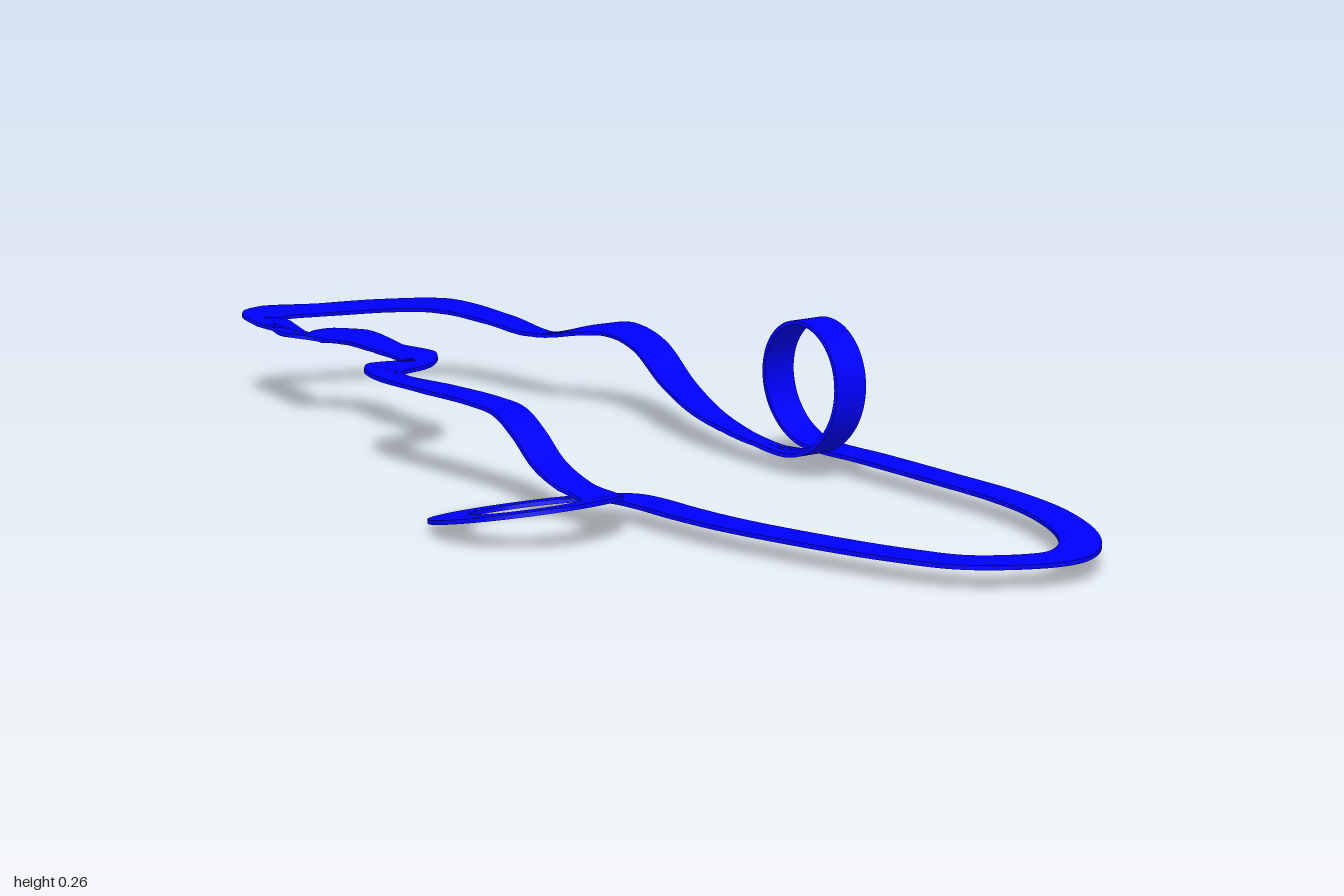
import * as THREE from 'three';

const WIDTH = 0.064, THICK = 0.007, STEPS = 8;

// Centre line of the closed circuit, with a matching "up" for every control point
function layOutTrack() {
  const points = [], ups = [];
  // x, y, z, then the sideways lean of the surface (ux, uz)
  const add = (x, y, z, ux = 0, uz = 0, uy = 1) => {
    points.push(new THREE.Vector3(x, y, z));
    ups.push(new THREE.Vector3(ux, uy, uz));
  };
  const addAll = (list) => list.forEach((p) => add(...p));

  // Vertical loop: rises on the right, drifts back while turning over
  const n = 16;
  for (let i = 0; i <= n; i++) {
    const a = (i / n) * Math.PI * 2;
    add(0.165 + 0.11 * Math.sin(a), 0.148 - 0.11 * Math.cos(a), -0.325 - 0.07 * (i / n),
      -Math.sin(a), 0, Math.cos(a));
  }

  // Long low bend round the right end, then the leaning way into the spiral
  addAll([
    [0.27, 0.038, -0.392], [0.45, 0.038, -0.38], [0.62, 0.038, -0.365], [0.75, 0.038, -0.332],
    [0.88, 0.038, -0.262], [0.948, 0.038, -0.19], [0.963, 0.038, -0.13], [0.9, 0.038, -0.015],
    [0.8, 0.038, 0.035], [0.65, 0.038, 0.077], [0.5, 0.038, 0.105], [0.4, 0.038, 0.112],
    [0.3, 0.038, 0.112], [0.25, 0.036, 0.116, -0.12], [0.195, 0.03, 0.135, -0.21],
    [0.15, 0.023, 0.175, -0.21],
  ]);

  // Tilted flat spiral, passing under the upper track
  const slope = 0.21, r = 0.1215;
  for (let deg = 305; deg >= 45; deg -= 20) {
    const a = THREE.MathUtils.degToRad(deg), dx = r * Math.sin(a);
    add(0.219 + dx, 0.038 + slope * dx, 0.287 - r * Math.cos(a), -slope);
  }

  // Climb to the upper level, then the zigzag front and the left end, banked into each turn
  addAll([
    [0.262, 0.051, 0.182, -0.12], [0.21, 0.06, 0.186], [0.15, 0.085, 0.189],
    [0.1, 0.125, 0.19], [0.05, 0.153, 0.19], [-0.02, 0.16, 0.19], [-0.15, 0.16, 0.19],
    [-0.29, 0.158, 0.186, 0, -0.1], [-0.355, 0.157, 0.155, 0.14, -0.14],
    [-0.373, 0.156, 0.08], [-0.42, 0.156, 0.037, -0.12, 0.14], [-0.53, 0.155, 0.026],
    [-0.66, 0.154, 0.006, 0, 0.2], [-0.715, 0.152, 0.028, 0.14, 0.1],
    [-0.75, 0.151, 0.063, -0.12, -0.1], [-0.8, 0.151, 0.055, 0, -0.2], [-0.88, 0.152, 0.037],
    [-0.95, 0.153, 0.022, 0.14, -0.14], [-0.968, 0.153, -0.02, 0.2, -0.05],
    [-0.94, 0.153, -0.11, 0.12], [-0.9, 0.153, -0.24, 0.15], [-0.845, 0.15, -0.327, 0.14, 0.14],
  ]);

  // Dip, hump and descent along the back to the loop
  addAll([
    [-0.72, 0.138, -0.36, 0, 0.05], [-0.6, 0.126, -0.372, 0, -0.1], [-0.5, 0.145, -0.403, 0, 0.1],
    [-0.42, 0.156, -0.41, 0, 0.22], [-0.32, 0.143, -0.397, 0, 0.15], [-0.2, 0.095, -0.366],
    [-0.1, 0.063, -0.347, 0, -0.1], [0, 0.045, -0.335, 0, -0.2], [0.09, 0.037, -0.328, 0, -0.2],
  ]);
  return { points, ups };
}

// Thin rectangular section swept along the circuit, with crisp edges
function trackGeometry() {
  const { points, ups } = layOutTrack();
  const path = new THREE.CatmullRomCurve3(points, true);
  const count = points.length * STEPS;
  const corners = [[1, 1], [-1, 1], [-1, -1], [1, -1]];
  const position = [], index = [];

  for (let i = 0; i < count; i++) {
    const k = Math.floor(i / STEPS), f = (i % STEPS) / STEPS;
    const centre = path.getPoint(i / count), tangent = path.getTangent(i / count);
    const up = ups[k].clone().lerp(ups[(k + 1) % ups.length], f);
    const side = tangent.clone().cross(up).normalize();
    up.copy(side).cross(tangent).normalize();
    const ring = corners.map(([s, u]) => centre.clone()
      .addScaledVector(side, s * WIDTH / 2).addScaledVector(up, u * THICK / 2));
    // Each of the four faces owns its two edge vertices
    for (let c = 0; c < 4; c++) {
      position.push(...ring[c].toArray(), ...ring[(c + 1) % 4].toArray());
      const a = i * 8 + c * 2, d = ((i + 1) % count) * 8 + c * 2;
      index.push(a, d, a + 1, a + 1, d, d + 1);
    }
  }
  const geometry = new THREE.BufferGeometry();
  geometry.setAttribute('position', new THREE.Float32BufferAttribute(position, 3));
  geometry.setIndex(index);
  geometry.computeVertexNormals();
  return geometry;
}

export function createModel() {
  const group = new THREE.Group();
  group.name = 'loopTrack';
  const material = new THREE.MeshStandardMaterial({ color: 0x0000ff, side: THREE.DoubleSide });
  const track = new THREE.Mesh(trackGeometry(), material);
  track.name = 'trackRibbon';
  group.add(track);
  return group;
}
